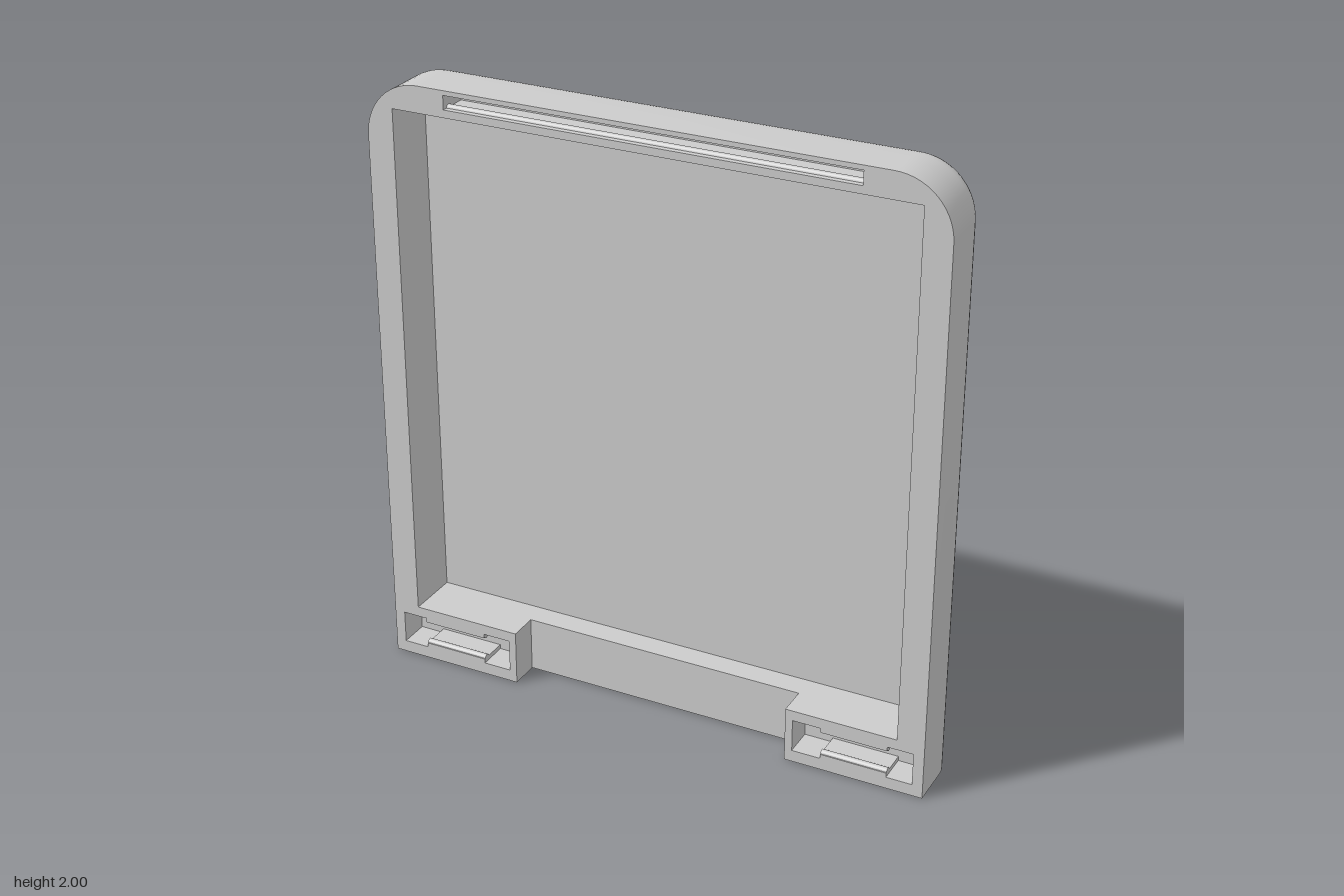
import * as THREE from 'three';
import { toCreasedNormals } from 'three/addons/utils/BufferGeometryUtils.js';

const W = 0.94, H = 2, FRONT = 0.12, BACK = -0.12, STEP = 0.02;
const CORNER = 0.18, FILLET = 0.09, FLOOR = -0.06;
const CX = 0.85, CY0 = 0.185, CY1 = 1.915, NOTCH = 0.48;

const mat = new THREE.MeshStandardMaterial({ color: 0xcccccc });

const path = (pts) => pts.map(([x, y]) => new THREE.Vector2(x, y));
const rect = (x0, y0, x1, y1) => path([[x0, y0], [x1, y0], [x1, y1], [x0, y1]]);

// Outer outline, counter-clockwise: square bottom corners, round top corners
function outline(inset = 0) {
  const pts = [[-W + inset, inset], [W - inset, inset]];
  const r = CORNER - inset, n = 14;
  for (const side of [1, -1]) {
    for (let i = 0; i <= n; i++) {
      const a = (side > 0 ? 0 : Math.PI / 2) + (i / n) * Math.PI / 2;
      pts.push([side * (W - CORNER) + r * Math.cos(a), H - CORNER + r * Math.sin(a)]);
    }
  }
  return path(pts);
}

function slab(name, points, holes, z0, z1) {
  const shape = new THREE.Shape(points);
  holes.forEach((h) => shape.holes.push(new THREE.Path(h)));
  const geo = new THREE.ExtrudeGeometry(shape, { depth: z1 - z0, bevelEnabled: false });
  geo.translate(0, 0, z0);
  const mesh = new THREE.Mesh(toCreasedNormals(geo, 0.5), mat);
  mesh.name = name;
  return mesh;
}

// Side skin that rolls over a fillet into the flat back
function backShell() {
  const rings = [[0, STEP]];
  for (let i = 0; i <= 10; i++) {
    const a = (i / 10) * Math.PI / 2;
    rings.push([FILLET * (1 - Math.cos(a)), BACK + FILLET * (1 - Math.sin(a))]);
  }
  const pos = [], idx = [];
  const n = outline().length;
  rings.forEach(([inset, z]) => outline(inset).forEach((p) => pos.push(p.x, p.y, z)));
  for (let k = 0; k < rings.length - 1; k++) {
    for (let i = 0; i < n; i++) {
      const j = (i + 1) % n, a = k * n + i, b = k * n + j;
      idx.push(a, a + n, b, b, a + n, b + n);
    }
  }
  // Back cap
  const last = (rings.length - 1) * n;
  THREE.ShapeUtils.triangulateShape(outline(FILLET), []).forEach(([a, b, c]) =>
    idx.push(last + a, last + c, last + b));
  const geo = new THREE.BufferGeometry();
  geo.setAttribute('position', new THREE.Float32BufferAttribute(pos, 3));
  geo.setIndex(idx);
  const mesh = new THREE.Mesh(toCreasedNormals(geo, 0.5), mat);
  mesh.name = 'backShell';
  return mesh;
}

// Rounded lip running along x
function lip(name, x, y, z, length, radius) {
  const geo = new THREE.CylinderGeometry(radius, radius, length, 16);
  geo.rotateZ(Math.PI / 2);
  const mesh = new THREE.Mesh(geo, mat);
  mesh.name = name;
  mesh.position.set(x, y, z);
  return mesh;
}

// Clip pocket: wide ends with a narrower middle
function clipPocket(side) {
  return path([
    [0.505, 0.04], [0.60, 0.04], [0.60, 0.055], [0.82, 0.055], [0.82, 0.04], [0.905, 0.04],
    [0.905, 0.15], [0.82, 0.15], [0.82, 0.135], [0.60, 0.135], [0.60, 0.15], [0.505, 0.15],
  ].map(([x, y]) => [side * x, y]));
}

export function createModel() {
  const model = new THREE.Group();
  model.name = 'cover';

  // Front rim, open at the bottom between the two clip blocks
  const rim = outline().slice(1);
  rim.push(...path([
    [-W, 0], [-NOTCH, 0], [-NOTCH, CY0], [-CX, CY0], [-CX, CY1],
    [CX, CY1], [CX, CY0], [NOTCH, CY0], [NOTCH, 0],
  ]));
  const slot = rect(-0.67, 1.94, 0.67, 1.985);
  model.add(slab('frontRim', rim, [slot, clipPocket(1), clipPocket(-1)], STEP, FRONT));

  // Stepped inner frame and cavity walls
  const cavity = rect(-CX, CY0, CX, CY1);
  model.add(slab('innerFrame', outline(0.0005), [cavity], -0.03, STEP));
  model.add(slab('cavityLining', outline(0.01), [cavity], FLOOR, -0.03));

  // Cavity floor
  const floor = new THREE.Mesh(new THREE.PlaneGeometry(2 * CX, CY1 - CY0), mat);
  floor.name = 'cavityFloor';
  floor.position.set(0, (CY0 + CY1) / 2, FLOOR);
  model.add(floor);

  model.add(backShell());

  // Rounded lips in the top slot and the clip pockets
  model.add(lip('slotLip', 0, 1.938, 0.09, 1.34, 0.012));
  for (const side of [1, -1]) {
    model.add(lip('clipLowerLip', side * 0.71, 0.053, 0.105, 0.22, 0.012));
    model.add(lip('clipUpperLip', side * 0.71, 0.137, 0.105, 0.22, 0.009));
  }
  return model;
}
